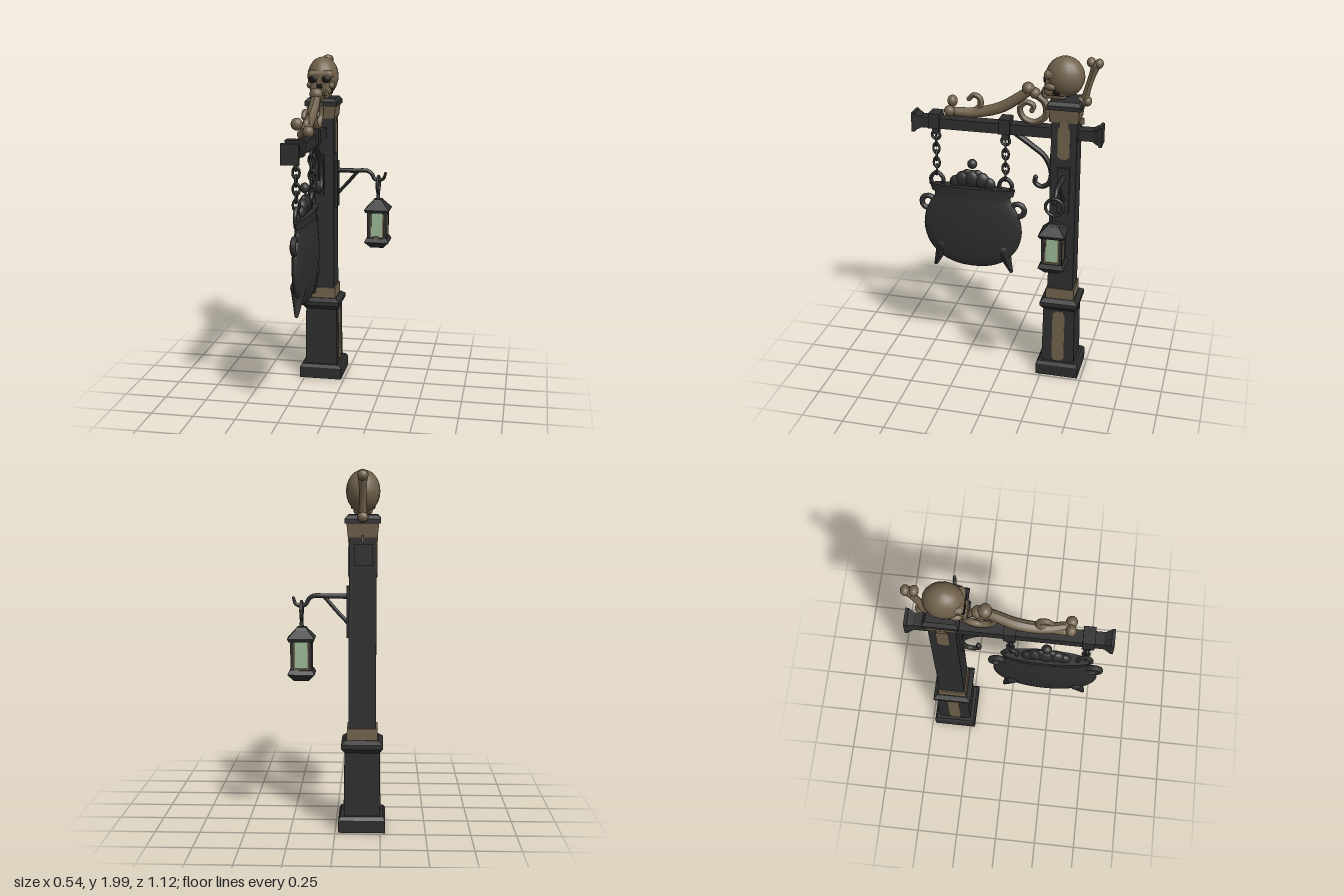
import * as THREE from 'three';
import { RoundedBoxGeometry } from 'three/addons/geometries/RoundedBoxGeometry.js';

const mat = (name, color) => { const m = new THREE.MeshStandardMaterial({ color }); m.name = name; return m; };

export function createModel() {
  const iron = mat('black iron', 0x2e2e2e);
  const bone = mat('old bone', 0x70614b);
  const glass = mat('green glass', 0x9dbb98);
  const hollow = mat('hollow black', 0x161514);
  const root = new THREE.Group();
  root.name = 'lantern signpost';
  const PX = -0.148, PZ = -0.35; // post axis

  const add = (name, geo, material, x = 0, y = 0, z = 0, parent = root) => {
    const m = new THREE.Mesh(geo, material);
    m.name = name;
    m.position.set(x, y, z);
    parent.add(m);
    return m;
  };
  const box = (name, w, h, d, material, x, y, z, parent) => add(name, new THREE.BoxGeometry(w, h, d), material, x, y, z, parent);
  // square tapered block standing from y0 to y1
  const block = (name, w0, w1, y0, y1, material, x, z, parent) => {
    const g = new THREE.CylinderGeometry(w1 * Math.SQRT1_2, w0 * Math.SQRT1_2, y1 - y0, 4).rotateY(Math.PI / 4).toNonIndexed();
    g.computeVertexNormals();
    return add(name, g, material, x, (y0 + y1) / 2, z, parent);
  };
  const ball = (name, r, material, x, y, z, sx = 1, sy = 1, sz = 1, parent = root) => {
    const m = add(name, new THREE.SphereGeometry(r, 18, 12), material, x, y, z, parent);
    m.scale.set(sx, sy, sz);
    return m;
  };
  // tube whose radius follows a rule, with rounded ends
  const limb = (name, pts, radius, material, parent = root) => {
    const rad = typeof radius === 'number' ? () => radius : radius;
    const curve = new THREE.CatmullRomCurve3(pts.map(p => new THREE.Vector3(...p)));
    const n = pts.length * 6, sides = 10;
    const g = new THREE.TubeGeometry(curve, n, 1, sides);
    const pos = g.attributes.position, v = new THREE.Vector3();
    for (let i = 0; i < pos.count; i++) {
      const t = Math.floor(i / (sides + 1)) / n, c = curve.getPointAt(t);
      v.fromBufferAttribute(pos, i).sub(c).multiplyScalar(rad(t)).add(c);
      pos.setXYZ(i, v.x, v.y, v.z);
    }
    g.computeVertexNormals();
    add(name, g, material, 0, 0, 0, parent);
    ball(name + 'Start', rad(0), material, ...pts[0], 1, 1, 1, parent);
    ball(name + 'End', rad(1), material, ...pts[pts.length - 1], 1, 1, 1, parent);
  };

  // Post
  block('baseFoot', 0.26, 0.26, 0, 0.07, iron, PX, PZ);
  block('baseBevel', 0.26, 0.235, 0.07, 0.088, iron, PX, PZ);
  block('plinth', 0.2, 0.19, 0.088, 0.46, iron, PX, PZ);
  block('plinthCove', 0.19, 0.225, 0.445, 0.47, iron, PX, PZ);
  block('plinthCap', 0.23, 0.23, 0.47, 0.495, iron, PX, PZ);
  block('plinthCapBevel', 0.23, 0.18, 0.495, 0.515, iron, PX, PZ);
  block('lowerCollar', 0.172, 0.168, 0.51, 0.58, bone, PX, PZ);
  block('shaft', 0.152, 0.148, 0.57, 1.64, iron, PX, PZ);
  block('upperCollar', 0.16, 0.175, 1.63, 1.705, bone, PX, PZ);
  block('postCap', 0.195, 0.195, 1.705, 1.73, iron, PX, PZ);
  block('postCapTop', 0.195, 0.16, 1.73, 1.75, iron, PX, PZ);
  // notched bone chips running up from the lower collar and down from the upper one
  for (const a of [0, 1, 2, 3]) {
    const c = Math.cos(a * Math.PI / 2), s = Math.sin(a * Math.PI / 2);
    box('collarChip', c ? 0.012 : 0.05, 0.035, c ? 0.05 : 0.012, bone, PX + c * 0.076, 1.622, PZ + s * 0.076);
  }
  // worn bone panels with clipped corners, on both sides
  const panel = (w, h) => {
    const k = w * 0.25, s = new THREE.Shape();
    s.moveTo(-w / 2 + k, -h / 2).lineTo(w / 2 - k, -h / 2).lineTo(w / 2, -h / 2 + k).lineTo(w / 2, h / 2 - k)
      .lineTo(w / 2 - k, h / 2).lineTo(-w / 2 + k, h / 2).lineTo(-w / 2, h / 2 - k).lineTo(-w / 2, -h / 2 + k);
    return new THREE.ExtrudeGeometry(s, { depth: 0.008, bevelEnabled: false }).translate(0, 0, -0.004).rotateY(Math.PI / 2);
  };
  for (const s of [-1, 1]) {
    add('plinthPanel', panel(0.075, 0.34), bone, PX + s * 0.097, 0.265, PZ).rotation.z = s * 0.013;
    add('shaftPanel', panel(0.07, 0.2), bone, PX + s * 0.075, 1.51, PZ);
  }

  // Crossbeam with flared ends and hanger bands
  const BX = -0.153;
  box('beam', 0.075, 0.062, 1.09, iron, BX, 1.545, 0);
  for (const s of [-1, 1]) {
    box('beamEnd', 0.1, 0.115, 0.018, iron, BX, 1.545, s * 0.551);
    const flare = block('beamFlare', 0.07, 0.1, 0, 0.035, iron, BX, s * 0.525);
    flare.position.y = 1.545;
    flare.rotation.x = s * Math.PI / 2;
  }

  // Chains: band, alternating links, shackle
  const linkGeo = new THREE.TorusGeometry(0.019, 0.007, 6, 14).scale(1, 1.55, 1);
  for (const z of [0.425, 0.005]) {
    box('hangerBand', 0.1, 0.09, 0.066, iron, BX, 1.56, z);
    box('hangerTab', 0.035, 0.06, 0.042, iron, BX, 1.5, z);
    add('hangerEye', new THREE.TorusGeometry(0.024, 0.009, 6, 14), iron, PX, 1.462, z).rotation.y = Math.PI / 2;
    for (let i = 0; i < 5; i++)
      add('chainLink', linkGeo, iron, PX, 1.425 - i * 0.045, z).rotation.y = i % 2 ? Math.PI / 2 : 0.25;
    limb('shackle', [[PX, 1.155, z + 0.036], [PX, 1.195, z + 0.036], [PX, 1.228, z], [PX, 1.195, z - 0.036], [PX, 1.155, z - 0.036]], 0.012, iron);
  }

  // Flattened cauldron sign
  const CZ = 0.207;
  const profile = [[0, 0.635], [0.08, 0.64], [0.16, 0.665], [0.225, 0.71], [0.275, 0.775], [0.3, 0.85], [0.303, 0.91],
    [0.29, 0.98], [0.26, 1.045], [0.235, 1.085], [0.232, 1.115]].map(p => new THREE.Vector2(...p));
  add('cauldronBody', new THREE.LatheGeometry(new THREE.SplineCurve(profile).getPoints(30), 48), iron, PX + 0.005, 0, CZ).scale.x = 0.165;
  const rim = add('cauldronRim', new THREE.CylinderGeometry(0.262, 0.25, 0.045, 40), iron, PX + 0.005, 1.138, CZ);
  rim.scale.x = 0.165;
  for (const s of [-1, 1]) {
    limb('cauldronFoot', [[PX, 0.77, CZ + s * 0.19], [PX, 0.69, CZ + s * 0.213], [PX, 0.622, CZ + s * 0.238]], t => 0.045 - t * 0.033, iron);
    const ring = add('cauldronHandle', new THREE.TorusGeometry(0.04, 0.017, 8, 20), iron, PX, 1.03, CZ + s * 0.277);
    ring.rotation.y = Math.PI / 2;
  }
  // froth
  for (const [dz, y, r] of [[-0.1, 1.18, 0.04], [-0.055, 1.2, 0.05], [0, 1.205, 0.055], [0.055, 1.2, 0.05], [0.1, 1.18, 0.04], [0.03, 1.235, 0.03], [-0.03, 1.235, 0.03]])
    ball('froth', r, iron, PX, y, CZ + dz, 0.6);
  ball('bubble', 0.03, iron, PX, 1.3, CZ, 0.9);

  // Scrolled iron brace under the beam
  limb('beamBrace', [[PX, 1.515, -0.055], [PX, 1.45, -0.15], [PX, 1.385, -0.23], [PX, 1.29, -0.268], [PX, 1.22, -0.25],
    [PX, 1.2, -0.21], [PX, 1.222, -0.172], [PX, 1.255, -0.175]], t => 0.017 - t * 0.003, iron);
  box('braceBacking', 0.035, 0.25, 0.015, iron, PX, 1.29, -0.27);

  // Bone scrollwork on the beam
  limb('scrollBone', [[-0.125, 1.625, 0.3], [-0.145, 1.622, 0.19], [-0.153, 1.66, 0.04], [PX, 1.73, -0.07], [PX, 1.785, -0.14]],
    t => 0.027 + 0.006 * Math.sin(t * Math.PI) , bone);
  ball('scrollKnob', 0.032, bone, -0.1, 1.635, 0.325);
  ball('scrollKnob', 0.033, bone, -0.165, 1.675, 0.325, 1, 1.05, 0.9);
  ball('scrollKnob', 0.036, bone, PX, 1.79, -0.125, 1.1, 1, 1);
  ball('scrollKnob', 0.032, bone, PX, 1.765, -0.165, 1.1, 1, 1);
  limb('frontCurl', [[PX, 1.615, 0.29], [PX, 1.62, 0.21], [PX, 1.665, 0.155], [PX, 1.712, 0.16], [PX, 1.725, 0.195], [PX, 1.7, 0.222]], t => 0.024 - 0.01 * t, bone);
  limb('rearScroll', [[PX, 1.765, -0.16], [PX, 1.715, -0.222], [PX, 1.64, -0.23], [PX, 1.592, -0.17], [PX, 1.612, -0.1],
    [PX, 1.67, -0.078], [PX, 1.707, -0.115], [PX, 1.69, -0.158], [PX, 1.66, -0.148]], t => 0.023 - 0.008 * t, bone);

  // Skull
  const skull = new THREE.Group();
  skull.name = 'skull';
  skull.position.set(PX, 1.75, -0.33);
  root.add(skull);
  ball('cranium', 0.12, bone, 0, 0.124, -0.005, 0.775, 0.97, 0.93, skull);
  add('brow', new RoundedBoxGeometry(0.15, 0.05, 0.07, 3, 0.022), bone, 0, 0.142, 0.07, skull);
  add('face', new RoundedBoxGeometry(0.125, 0.12, 0.13, 3, 0.025), bone, 0, 0.078, 0.04, skull);
  add('jaw', new RoundedBoxGeometry(0.105, 0.055, 0.14, 3, 0.018), bone, 0, 0.028, 0.048, skull);
  for (const s of [-1, 1]) {
    ball('cheekbone', 0.03, bone, s * 0.064, 0.078, 0.062, 0.7, 0.7, 1.2, skull);
    ball('eyeSocket', 0.028, hollow, s * 0.036, 0.115, 0.1, 1, 0.85, 0.35, skull);
    ball('templeHollow', 0.024, hollow, s * 0.062, 0.046, 0.03, 0.2, 0.8, 1, skull);
    ball('noseHollow', 0.012, hollow, s * 0.009, 0.078, 0.105, 0.8, 1.4, 0.3, skull);
  }
  for (let i = -3; i <= 3; i++) {
    add('tooth', new RoundedBoxGeometry(0.012, 0.026, 0.01, 2, 0.004), bone, i * 0.0135, 0.036, 0.119 - Math.abs(i) * 0.001, skull);
  }
  box('mouthLine', 0.09, 0.004, 0.008, hollow, 0, 0.02, 0.116, skull);

  // Upright bone behind the skull
  limb('backBone', [[PX, 1.735, -0.445], [PX, 1.83, -0.468], [PX, 1.95, -0.505]], t => 0.019 + 0.03 * (t - 0.5) ** 2, bone);
  for (const [y, z] of [[1.965, -0.478], [1.96, -0.522], [1.74, -0.43], [1.74, -0.465]])
    ball('backBoneKnob', 0.028, bone, PX, y, z, 1.05, 1, 0.9);

  // Lantern bracket
  const LX = 0.188, LZ = -0.355;
  box('wallPlate', 0.016, 0.28, 0.07, iron, -0.067, 1.22, LZ);
  limb('arm', [[-0.07, 1.305, LZ], [0.04, 1.305, LZ], [0.125, 1.305, LZ], [0.15, 1.285, LZ], [0.165, 1.258, LZ], [0.192, 1.25, LZ], [0.22, 1.262, LZ], [0.232, 1.295, LZ]],
    t => 0.0145 - 0.006 * t * t, iron);
  limb('armStrut', [[-0.065, 1.16, LZ], [0, 1.23, LZ], [0.06, 1.3, LZ]], 0.011, iron);

  // Lantern
  const lantern = new THREE.Group();
  lantern.name = 'lantern';
  lantern.position.set(LX, 0, LZ);
  root.add(lantern);
  const handle = add('handleRing', new THREE.TorusGeometry(0.05, 0.009, 8, 24), iron, 0, 1.225, 0, lantern);
  handle.rotation.y = Math.PI / 2;
  add('handleStem', new THREE.CylinderGeometry(0.009, 0.014, 0.06, 10), iron, 0, 1.15, 0, lantern);
  block('roofCap', 0.07, 0.05, 1.118, 1.135, iron, 0, 0, lantern);
  block('roof', 0.15, 0.07, 1.075, 1.12, iron, 0, 0, lantern);
  block('roofEave', 0.135, 0.152, 1.058, 1.076, iron, 0, 0, lantern);
  block('glass', 0.094, 0.1, 0.895, 1.06, glass, 0, 0, lantern);
  for (const sx of [-1, 1]) for (const sz of [-1, 1])
    box('cornerBar', 0.018, 0.17, 0.018, iron, sx * 0.05, 0.977, sz * 0.05, lantern);
  // bone-toned edging round each pane
  for (let a = 0; a < 4; a++) {
    const side = new THREE.Group();
    side.name = 'paneEdging';
    side.rotation.y = a * Math.PI / 2;
    lantern.add(side);
    for (const s of [-1, 1]) box('edgeStrip', 0.008, 0.15, 0.008, bone, s * 0.038, 0.977, 0.05, side);
    box('sillStrip', 0.08, 0.012, 0.008, bone, 0, 0.903, 0.05, side);
  }
  block('tray', 0.15, 0.125, 0.876, 0.9, iron, 0, 0, lantern);
  block('trayBottom', 0.08, 0.15, 0.838, 0.877, iron, 0, 0, lantern);

  return root;
}
